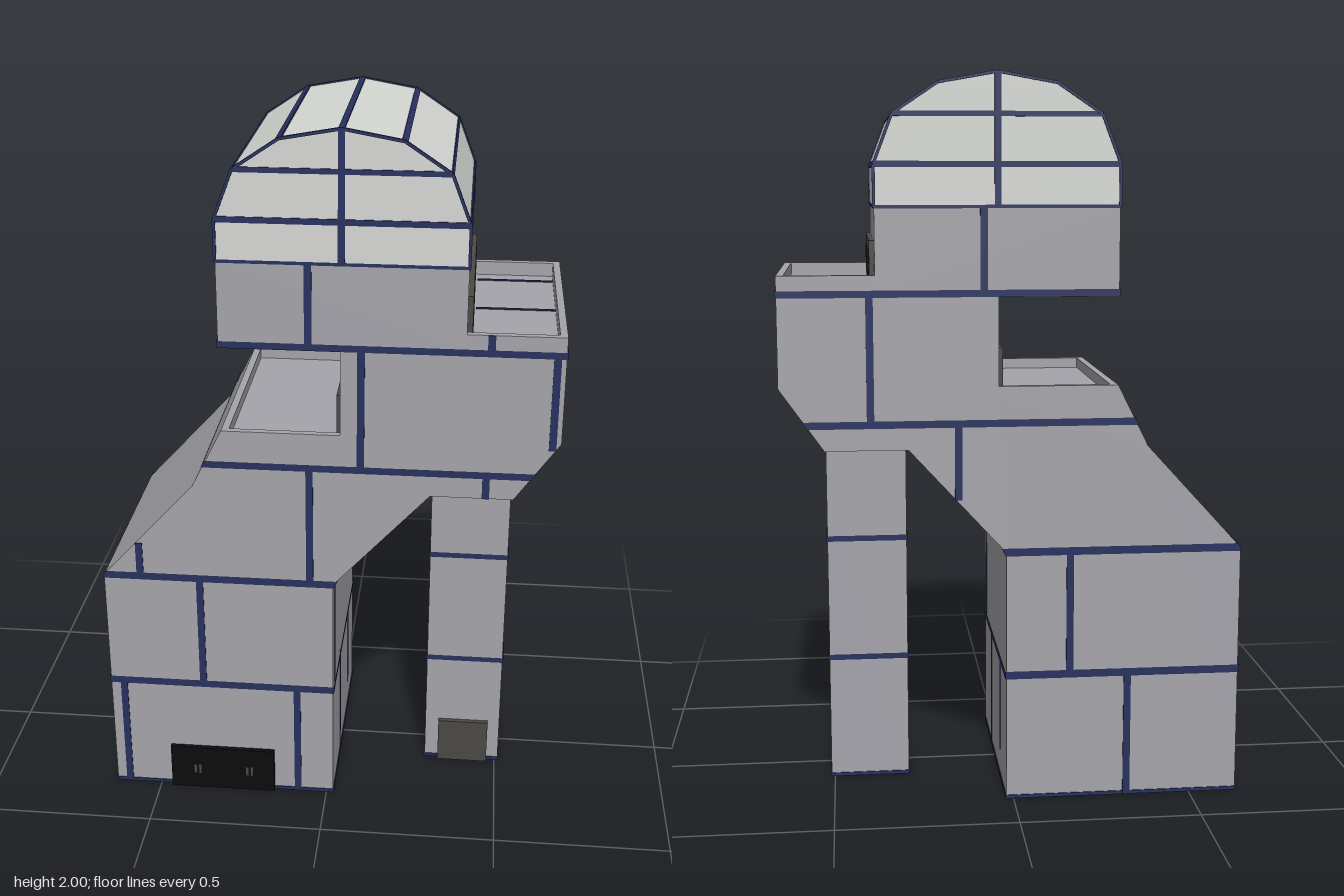
import * as THREE from 'three';

const mat = (name, color) => {
  const m = new THREE.MeshStandardMaterial({ color, side: THREE.DoubleSide });
  m.name = name;
  return m;
};

const ZB = -0.333, ZF = 0.32, ZC = (ZB + ZF) / 2, DEPTH = ZF - ZB;

export function createModel() {
  const root = new THREE.Group();
  root.name = 'blockTower';
  const stone = mat('grey stone', 0xa5a4aa);
  const mortar = mat('navy mortar', 0x27305e);
  const glass = mat('pale roof', 0xd6d8d4);
  const frame = mat('dark grey frame', 0x4b4846);
  const pane = mat('charcoal pane', 0x2a2827);
  const black = mat('black door', 0x0c0c0c);

  const group = (name) => {
    const g = new THREE.Group();
    g.name = name;
    root.add(g);
    return g;
  };

  // Thin-walled prism: outline (counter-clockwise) swept in z, leaving out the skipped edges
  function prism(parent, name, material, pts, z0, z1, skip = []) {
    const pos = [];
    pts.forEach((p, i) => {
      if (skip.includes(i)) return;
      const q = pts[(i + 1) % pts.length];
      const pF = [...p, z1], pB = [...p, z0], qF = [...q, z1], qB = [...q, z0];
      pos.push(...pF, ...pB, ...qB, ...pF, ...qB, ...qF);
    });
    const outline = pts.map((p) => new THREE.Vector2(...p));
    for (const [a, b, c] of THREE.ShapeUtils.triangulateShape(outline, [])) {
      pos.push(...pts[a], z1, ...pts[b], z1, ...pts[c], z1);
      pos.push(...pts[a], z0, ...pts[c], z0, ...pts[b], z0);
    }
    const geo = new THREE.BufferGeometry();
    geo.setAttribute('position', new THREE.Float32BufferAttribute(pos, 3));
    geo.computeVertexNormals();
    const mesh = new THREE.Mesh(geo, material);
    mesh.name = name;
    parent.add(mesh);
    return mesh;
  }

  function box(parent, name, material, w, h, d, x, y, z) {
    const mesh = new THREE.Mesh(new THREE.BoxGeometry(w, h, d), material);
    mesh.name = name;
    mesh.position.set(x, y, z);
    parent.add(mesh);
    return mesh;
  }

  // Main body, open underneath
  const body = [
    [-0.635, 0], [0.02, 0], [0.02, 0.71], [0.285, 1.0], [0.51, 1.0], [0.63, 1.17],
    [0.63, 1.43], [0.37, 1.43], [0.37, 1.65], [-0.285, 1.65], [-0.285, 1.41],
    [0.04, 1.41], [0.04, 1.14], [-0.3, 1.14], [-0.37, 1.0], [-0.635, 0.71],
  ];
  prism(root, 'towerBody', stone, body, ZB, ZF, [0]);

  // Supporting leg, open underneath
  prism(root, 'supportLeg', stone, [[0.285, 0], [0.51, 0], [0.51, 1], [0.285, 1]], -0.12, 0.11, [0, 2]);

  // Terrace parapets: two side walls and an outer wall each
  const rims = group('terraceParapets');
  const rimSpecs = [
    { side: [[0.37, 1.43], [0.63, 1.43], [0.63, 1.47], [0.37, 1.47]],
      end: [[0.61, 1.43], [0.63, 1.43], [0.63, 1.47], [0.61, 1.47]] },
    { side: [[-0.3, 1.14], [0.04, 1.14], [0.04, 1.17], [-0.285, 1.17]],
      end: [[-0.3, 1.14], [-0.265, 1.14], [-0.265, 1.17], [-0.285, 1.17]] },
  ];
  for (const { side, end } of rimSpecs) {
    prism(rims, 'parapetSide', stone, side, ZF - 0.02, ZF);
    prism(rims, 'parapetSide', stone, side, ZB, ZB + 0.02);
    prism(rims, 'parapetEnd', stone, end, ZB + 0.02, ZF - 0.02);
  }

  // Faceted barrel roof
  const dome = [
    [-0.285, 1.65], [0.37, 1.65], [0.37, 1.76], [0.32, 1.89], [0.2, 1.97],
    [0.0425, 1.998], [-0.115, 1.97], [-0.235, 1.89], [-0.285, 1.76],
  ];
  prism(root, 'barrelRoof', glass, dome, ZB, ZF, [0]);

  // Roof ribs along the folds and around both end arches
  const ribs = group('roofRibs');
  for (let i = 2; i < dome.length; i++) {
    const p = dome[i], a = dome[i - 1], b = dome[(i + 1) % dome.length];
    const w = i === 3 || i === 7 ? 0.008 : 0.016;
    const rib = box(ribs, 'foldRib', mortar, w, 0.005, DEPTH, p[0], p[1], ZC);
    rib.rotation.z = Math.atan2(b[1] - a[1], b[0] - a[0]);
  }
  for (let i = 1; i < dome.length; i++) {
    const p = dome[i], q = dome[(i + 1) % dome.length];
    const len = Math.hypot(q[0] - p[0], q[1] - p[1]);
    for (const z of [ZF, ZB]) {
      const rib = box(ribs, 'archRib', mortar, len, 0.008, 0.008, (p[0] + q[0]) / 2, (p[1] + q[1]) / 2, z);
      rib.rotation.z = Math.atan2(q[1] - p[1], q[0] - p[0]);
    }
  }
  for (const z of [ZF, ZB]) {
    box(ribs, 'roofCrossbar', mortar, 0.65, 0.016, 0.005, 0.0425, 1.76, z);
    box(ribs, 'roofCrossbar', mortar, 0.55, 0.014, 0.005, 0.0425, 1.89, z);
    box(ribs, 'roofUpright', mortar, 0.018, 0.345, 0.005, 0.0425, 1.823, z);
  }

  // Mortar courses: thin bands around the outside [bottom, top, left b/t, right b/t]
  const courses = group('mortarCourses');
  const e = 0.003;
  function course(y0, y1, lb, lt, rb, rt, z0 = ZB, z1 = ZF) {
    prism(courses, 'mortarCourse', mortar,
      [[lb - e, y0], [rb + e, y0], [rt + e, y1], [lt - e, y1]], z0 - e, z1 + e, [0, 2]);
  }
  // Front and back sheets stay hollow below by using four strips at the base
  function footing(x0, x1, z0, z1) {
    for (const z of [z0, z1]) box(courses, 'footingLine', mortar, x1 - x0, 0.01, 0.005, (x0 + x1) / 2, 0.005, z);
    for (const x of [x0, x1]) box(courses, 'footingLine', mortar, 0.005, 0.01, z1 - z0, x, 0.005, (z0 + z1) / 2);
  }
  course(0.349, 0.371, -0.635, -0.635, 0.02, 0.02);
  course(0.7, 0.722, -0.635, -0.626, 0.02, 0.03);
  course(1.06, 1.08, -0.34, -0.33, 0.552, 0.566);
  course(1.411, 1.43, -0.285, -0.285, 0.63, 0.63);
  course(1.645, 1.654, -0.285, -0.285, 0.37, 0.37);
  course(0.352, 0.368, 0.285, 0.285, 0.51, 0.51, -0.12, 0.11);
  course(0.702, 0.718, 0.285, 0.285, 0.51, 0.51, -0.12, 0.11);
  footing(-0.635, 0.02, ZB, ZF);
  footing(0.285, 0.51, -0.12, 0.11);

  // Upright joints on front and back faces [x, bottom, top]
  const frontJoints = [
    [-0.597, 0, 0.36], [-0.085, 0, 0.36], [-0.36, 0.36, 0.71], [-0.53, 0.71, 0.815],
    [-0.045, 0.71, 1.07], [0.435, 1.0, 1.07], [0.095, 1.07, 1.42], [0.607, 1.15, 1.42],
    [-0.045, 1.42, 1.65], [0.435, 1.42, 1.47],
  ];
  const backJoints = [
    [-0.32, 0, 0.36], [-0.157, 0.36, 0.71], [0.15, 0.86, 1.07], [0.386, 1.07, 1.42], [0.08, 1.42, 1.65],
  ];
  for (const [list, z] of [[frontJoints, ZF], [backJoints, ZB]])
    for (const [x, y0, y1] of list) box(courses, 'uprightJoint', mortar, 0.02, y1 - y0, 0.006, x, (y0 + y1) / 2, z);

  // Finer joints on the left faces and the upper terrace floor
  for (const [x, z, y0, y1] of [[0.02, 0.1, 0, 0.36], [0.02, -0.16, 0.08, 0.34], [0.02, 0.27, 0.36, 0.71], [0.63, 0.07, 1.18, 1.42]])
    box(courses, 'fineJoint', mortar, 0.004, y1 - y0, 0.007, x, (y0 + y1) / 2, z);
  for (const z of [-0.26, -0.005, 0.248])
    box(courses, 'floorJoint', mortar, 0.22, 0.004, 0.009, 0.5, 1.431, z);

  // Terrace windows: framed strip with four panes
  function terraceWindow(x, dir, y0, y1) {
    const g = group('terraceWindow');
    box(g, 'windowFrame', frame, 0.014, y1 - y0, 0.57, x + dir * 0.007, (y0 + y1) / 2, -0.006);
    for (let i = 0; i < 4; i++)
      box(g, 'windowPane', pane, 0.003, y1 - y0 - 0.045, 0.11, x + dir * 0.014, (y0 + y1) / 2 - 0.006, -0.006 + (i - 1.5) * 0.138);
  }
  terraceWindow(0.37, 1, 1.43, 1.56);
  terraceWindow(0.04, -1, 1.14, 1.27);

  // Entrance double door with small lights, and the leg door
  const door = group('entranceDoor');
  box(door, 'doorPanel', black, 0.31, 0.14, 0.014, -0.31, 0.07, ZF + 0.007);
  for (const x of [-0.392, -0.378, -0.236, -0.222])
    box(door, 'doorLight', frame, 0.007, 0.03, 0.002, x, 0.066, ZF + 0.0145);
  box(root, 'legDoor', frame, 0.15, 0.14, 0.014, 0.4, 0.07, 0.117);

  return root;
}
